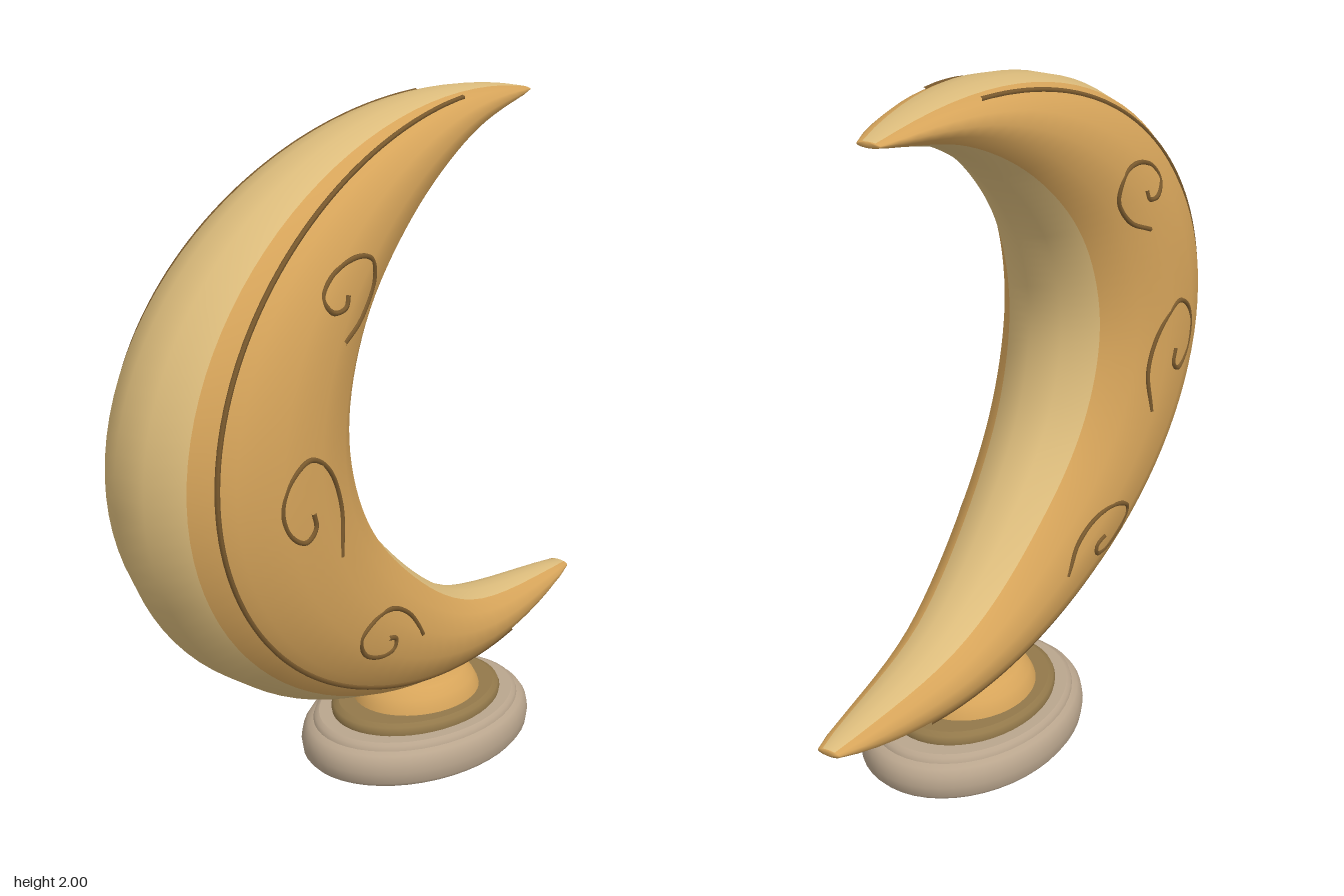
import * as THREE from 'three';

const flat = (name, color) => Object.assign(new THREE.MeshStandardMaterial({ color }), { name });
const V = (x, y, z = 0) => new THREE.Vector3(x, y, z);

// Inner edge of the crescent, from upper tip to lower tip
const innerCurve = new THREE.CatmullRomCurve3([
  [0.675, 1.945], [0.36, 1.86], [0.07, 1.68], [-0.14, 1.44], [-0.22, 1.17],
  [-0.16, 0.91], [0.03, 0.67], [0.37, 0.435], [0.945, 0.35],
].map(([x, y]) => V(x, y)));

// Outer edge is an elliptical arc
function outerPoint(s) {
  const a = THREE.MathUtils.degToRad(72.8 + 228.2 * s);
  return V(0.3 + 1.25 * Math.cos(a), 1.1 + 0.9 * Math.sin(a));
}
const halfDepth = (s) => 0.035 + 0.237 * Math.pow(Math.max(0, Math.sin(Math.PI * s)), 0.8);

// Point on the crescent: s runs tip to tip, phi goes round the section from the outer edge
function surfacePoint(s, phi, grow = 1) {
  const o = outerPoint(s), i = innerCurve.getPoint(s);
  const mid = o.clone().add(i).multiplyScalar(0.5);
  const p = mid.clone().addScaledVector(o.sub(mid), Math.cos(phi) * grow);
  p.z = halfDepth(s) * Math.sin(phi) * grow;
  return p;
}

// Crescent body: lofted elliptical sections, with side and rim colour groups
function crescentGeometry() {
  const rings = 64, sides = 16, pos = [], side = [], rim = [];
  for (let r = 0; r <= rings; r++) {
    for (let j = 0; j < sides; j++) {
      pos.push(...surfacePoint(r / rings, (j + 0.5) * 2 * Math.PI / sides, 1.015).toArray());
    }
  }
  for (let r = 0; r < rings; r++) {
    for (let j = 0; j < sides; j++) {
      const k = (j + 1) % sides;
      const a = r * sides + j, b = a + sides, c = r * sides + k, d = c + sides;
      const isRim = [14, 15, 0, 6, 7, 8].includes(j);
      (isRim ? rim : side).push(a, b, c, b, d, c);
    }
  }
  // Blunt ends of the two tips
  const last = rings * sides;
  for (let j = 1; j < sides - 1; j++) {
    side.push(0, j, j + 1, last, last + j + 1, last + j);
  }
  const g = new THREE.BufferGeometry();
  g.setAttribute('position', new THREE.Float32BufferAttribute(pos, 3));
  g.setIndex([...side, ...rim]);
  g.addGroup(0, side.length, 0);
  g.addGroup(side.length, rim.length, 1);
  g.computeVertexNormals();
  return g;
}

// Lay a flat x, y point onto the front face of the crescent
function project(p) {
  let best = Infinity, z = 0;
  for (let n = 10; n <= 390; n++) {
    const s = n / 400, o = outerPoint(s), d = innerCurve.getPoint(s).sub(o);
    const q = V(p.x, p.y).sub(o);
    const t = q.dot(d) / d.lengthSq();
    if (t < 0 || t > 1) continue;
    const miss = Math.abs(d.x * q.y - d.y * q.x) / d.length();
    if (miss < best) {
      best = miss;
      z = halfDepth(s) * Math.sqrt(1 - (2 * t - 1) ** 2);
    }
  }
  return V(p.x, p.y, z);
}

// Scrolls, each from its tail to its curled centre
const scrolls = [
  [[-0.4, 1.445], [-0.31, 1.49], [-0.25, 1.575], [-0.27, 1.645], [-0.335, 1.66], [-0.425, 1.63],
    [-0.47, 1.575], [-0.44, 1.535], [-0.39, 1.54], [-0.378, 1.57]],
  [[-0.425, 0.855], [-0.415, 0.99], [-0.47, 1.11], [-0.56, 1.17], [-0.635, 1.125], [-0.66, 1.05],
    [-0.63, 0.975], [-0.575, 0.945], [-0.54, 0.975], [-0.55, 1.02]],
  [[-0.01, 0.467], [-0.07, 0.55], [-0.165, 0.605], [-0.255, 0.61], [-0.32, 0.57], [-0.295, 0.51],
    [-0.22, 0.475], [-0.16, 0.48], [-0.155, 0.51], [-0.195, 0.525]],
];

export function createModel() {
  const gold = flat('gold', 0xd6a45a);
  const paleGold = flat('paleGold', 0xdcbc7c);
  const bronze = flat('bronze', 0x7a5a2e);
  const olive = flat('olive', 0x92784a);
  const stone = flat('stone', 0xb9a58d);

  const model = new THREE.Group();
  model.name = 'crescentOrnament';
  const add = (name, geometry, material) => {
    const mesh = new THREE.Mesh(geometry, material);
    mesh.name = name;
    model.add(mesh);
    return mesh;
  };

  add('crescent', crescentGeometry(), [gold, paleGold]);

  // Raised trim line and scrolls on both faces
  for (const [label, dir] of [['front', 1], ['back', -1]]) {
    const cord = (name, points) => {
      const curve = new THREE.CatmullRomCurve3(points.map((p) => V(p.x, p.y, p.z * dir)));
      add(name, new THREE.TubeGeometry(curve, points.length * 2, 0.0075, 6), bronze);
    };
    const trim = [];
    for (let n = 0; n <= 48; n++) trim.push(surfacePoint(0.085 + 0.835 * n / 48, 0.83));
    cord(label + 'Trim', trim);

    scrolls.forEach((pts, k) => {
      const path = new THREE.CatmullRomCurve3(pts.map(([x, y]) => V(x, y)));
      cord(label + 'Scroll' + (k + 1), path.getPoints(36).map(project));
    });
  }

  // Oval stepped base
  const oval = (name, profile, material, depth) => {
    const g = new THREE.LatheGeometry(profile.map(([r, y]) => new THREE.Vector2(r, y)), 48);
    g.scale(1, 1, depth);
    add(name, g, material).position.x = 0.205;
  };
  oval('basePlinth', [[0, 0], [0.395, 0], [0.395, 0], [0.406, 0.012], [0.412, 0.045], [0.405, 0.075],
    [0.39, 0.095], [0.37, 0.102], [0.37, 0.102], [0.365, 0.116], [0.35, 0.122], [0.35, 0.122],
    [0, 0.122]], stone, 0.735);
  oval('baseStep', [[0.302, 0.118], [0.305, 0.132], [0.298, 0.146], [0.28, 0.154], [0.28, 0.154],
    [0, 0.154]], olive, 0.74);
  oval('baseDome', [[0.217, 0.15], [0.21, 0.17], [0.195, 0.195], [0.165, 0.22], [0.12, 0.234],
    [0.06, 0.24], [0, 0.241]], gold, 0.83);

  return model;
}
